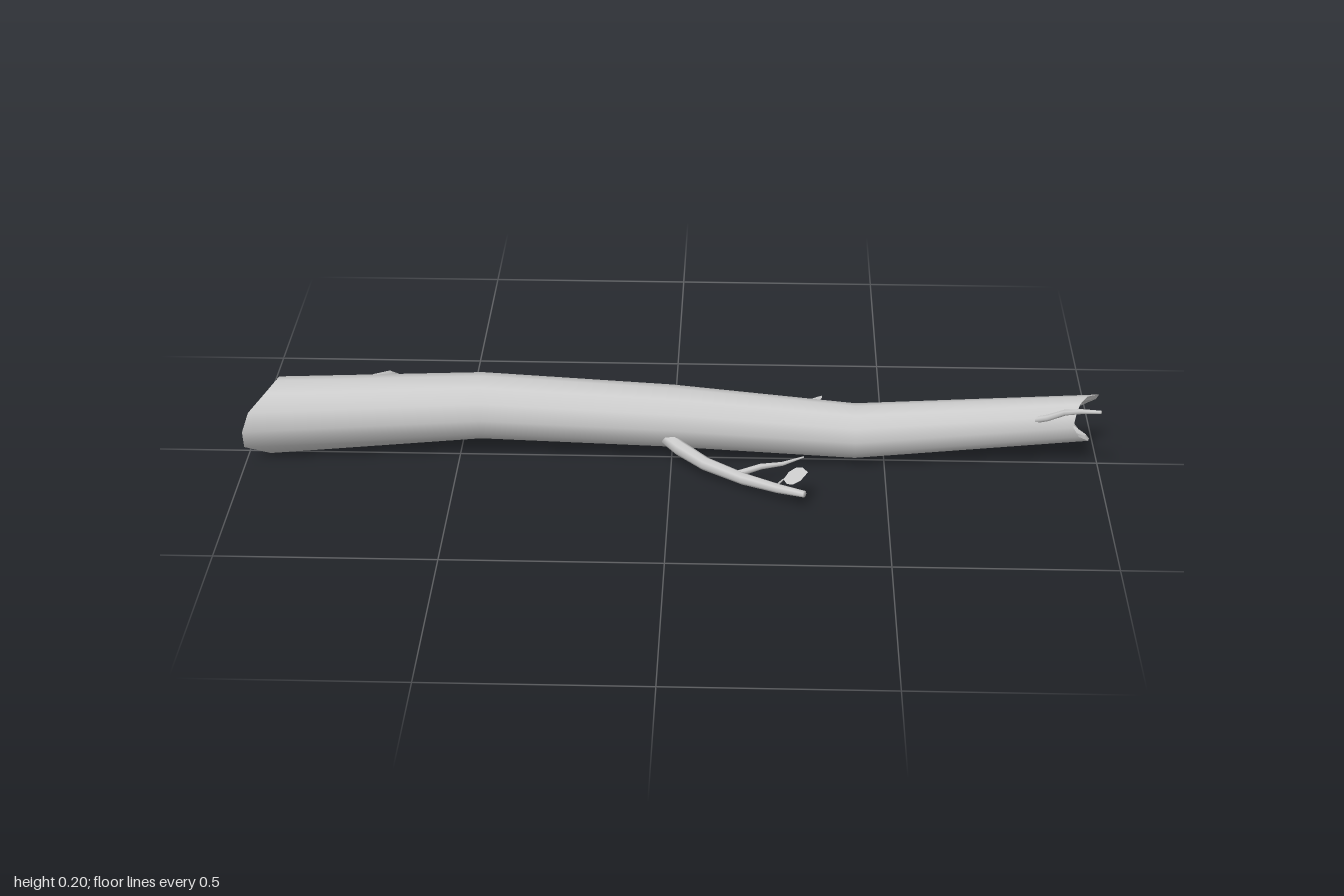
import * as THREE from 'three';

const V = (p) => new THREE.Vector3(...p);
const grey = new THREE.MeshStandardMaterial({ color: 0xcccccc });
const leafGrey = new THREE.MeshStandardMaterial({ color: 0xcccccc, side: THREE.DoubleSide });
const black = new THREE.MeshStandardMaterial({ color: 0x030303 });

// Smooth skin through closed rings of equal point count
function loft(name, rings, material = grey) {
  const n = rings[0].length;
  const pos = rings.flat().flatMap((p) => p.toArray());
  const index = [];
  for (let i = 0; i < rings.length - 1; i++) {
    for (let j = 0; j < n; j++) {
      const a = i * n + j, b = i * n + (j + 1) % n;
      index.push(a, b, b + n, a, b + n, a + n);
    }
  }
  const g = new THREE.BufferGeometry();
  g.setAttribute('position', new THREE.Float32BufferAttribute(pos, 3));
  g.setIndex(index);
  g.computeVertexNormals();
  const mesh = new THREE.Mesh(g, material);
  mesh.name = name;
  return mesh;
}

// Tapered limb: each node is [x, y, z, radius]; the tip is closed
function limb(name, nodes, sides = 7) {
  const pts = nodes.map((n) => V(n.slice(0, 3)));
  const ring = (i, r) => {
    const t = pts[Math.min(i + 1, pts.length - 1)].clone().sub(pts[Math.max(i - 1, 0)]).normalize();
    const v = t.clone().cross(V([0, 1, 0])).normalize();
    const u = v.clone().cross(t);
    return Array.from({ length: sides }, (_, j) => {
      const a = (j / sides) * Math.PI * 2;
      return pts[i].clone().addScaledVector(u, r * Math.cos(a)).addScaledVector(v, r * Math.sin(a));
    });
  };
  const rings = nodes.map((n, i) => ring(i, n[3]));
  rings.push(ring(pts.length - 1, 0));
  return loft(name, rings);
}

// Flat pointed leaf on a thin stalk
function leaf(name, root, base, along, side) {
  const group = new THREE.Group();
  group.name = name;
  const shape = new THREE.Shape();
  shape.moveTo(0, 0);
  shape.bezierCurveTo(0.15, 1.1, 0.7, 1.3, 1, 0);
  shape.bezierCurveTo(0.7, -1.3, 0.15, -1.1, 0, 0);
  const g = new THREE.ShapeGeometry(shape, 4);
  const x = V(along), y = V(side);
  const z = x.clone().cross(y).normalize();
  g.applyMatrix4(new THREE.Matrix4().makeBasis(x, y, z).setPosition(V(base)));
  g.computeVertexNormals();
  const blade = new THREE.Mesh(g, leafGrey);
  blade.name = name + 'Blade';
  group.add(limb(name + 'Stalk', [[...root, 0.003], [...base, 0.002]], 5), blade);
  return group;
}

export function createModel() {
  const model = new THREE.Group();
  model.name = 'fallenBranch';

  // Log rings: x per angle (0 = top, turning towards the front), centre and radii
  const ring = (x, cy, cz, ry, rz) => Array.from({ length: 12 }, (_, j) => {
    const a = (j / 12) * Math.PI * 2;
    return V([Array.isArray(x) ? x[j] : x, cy + ry * Math.cos(a), cz + rz * Math.sin(a)]);
  });
  const leftRim = [-0.93, -0.95, -0.985, -1, -1, -0.945, -0.955, -0.965, -0.96, -0.97, -0.95, -0.93];
  const rightRim = [0.97, 0.95, 0.94, 0.935, 0.95, 0.975, 0.98, 0.96, 0.94, 0.95, 0.985, 1];
  const left = ring(leftRim, 0.09, -0.012, 0.09, 0.093);
  const right = ring(rightRim, 0.11, -0.02, 0.055, 0.053);
  model.add(loft('trunkBark', [
    left,
    ring(-0.45, 0.108, -0.042, 0.077, 0.083),
    ring(0, 0.093, -0.032, 0.072, 0.078),
    ring(0.43, 0.076, -0.002, 0.064, 0.065),
    right,
  ]));

  // Dark broken end on the left
  model.add(loft('darkBrokenEnd', [ring(-0.925, 0.09, -0.012, 0, 0), left], black));

  // Splintered rim and hollow on the right
  const inner = ring(rightRim.map((x) => x - 0.008), 0.11, -0.02, 0.044, 0.042);
  model.add(loft('splinteredRim', [right, inner]));
  model.add(loft('hollowEnd', [inner, ring(0.905, 0.11, -0.02, 0.03, 0.029), ring(0.895, 0.11, -0.02, 0, 0)]));

  // Long rear branch with its twig
  model.add(limb('rearLongBranch', [
    [-0.88, 0.125, -0.08, 0.016], [-0.8, 0.13, -0.105, 0.02], [-0.69, 0.118, -0.135, 0.019],
    [-0.53, 0.078, -0.178, 0.014], [-0.43, 0.042, -0.22, 0.011], [-0.35, 0.017, -0.25, 0.007],
  ]));
  model.add(limb('rearTwig', [
    [-0.72, 0.128, -0.135, 0.011], [-0.685, 0.122, -0.17, 0.01],
    [-0.668, 0.1, -0.2, 0.009], [-0.66, 0.056, -0.248, 0.005],
  ]));

  // Short rear branch with a leaf
  model.add(limb('rearShortBranch', [
    [0.17, 0.09, -0.075, 0.014], [0.22, 0.077, -0.102, 0.014], [0.28, 0.053, -0.137, 0.011],
    [0.34, 0.037, -0.168, 0.009], [0.4, 0.02, -0.193, 0.005],
  ]));
  model.add(leaf('rearLeaf', [0.31, 0.045, -0.153], [0.322, 0.051, -0.183], [0.034, 0.004, -0.041], [0.014, 0.006, 0.011]));

  // Front branch with a side twig and a leaf
  model.add(limb('frontBranch', [
    [-0.01, 0.062, 0.025, 0.017], [0.02, 0.052, 0.053, 0.018], [0.08, 0.037, 0.1, 0.016],
    [0.17, 0.028, 0.155, 0.014], [0.25, 0.034, 0.21, 0.011], [0.31, 0.041, 0.248, 0.008],
  ]));
  model.add(limb('frontTwig', [
    [0.155, 0.033, 0.142, 0.008], [0.21, 0.043, 0.122, 0.007],
    [0.26, 0.039, 0.1, 0.005], [0.31, 0.042, 0.07, 0.002],
  ]));
  model.add(leaf('frontLeaf', [0.25, 0.042, 0.205], [0.262, 0.06, 0.214], [0.055, 0.03, 0.02], [0.003, 0.015, -0.017]));

  // Thin twig near the splintered end
  model.add(limb('endTwig', [
    [0.84, 0.122, 0.022, 0.008], [0.875, 0.138, 0.038, 0.008], [0.91, 0.163, 0.06, 0.007],
    [0.945, 0.179, 0.085, 0.006], [0.985, 0.192, 0.113, 0.004],
  ]));

  return model;
}
